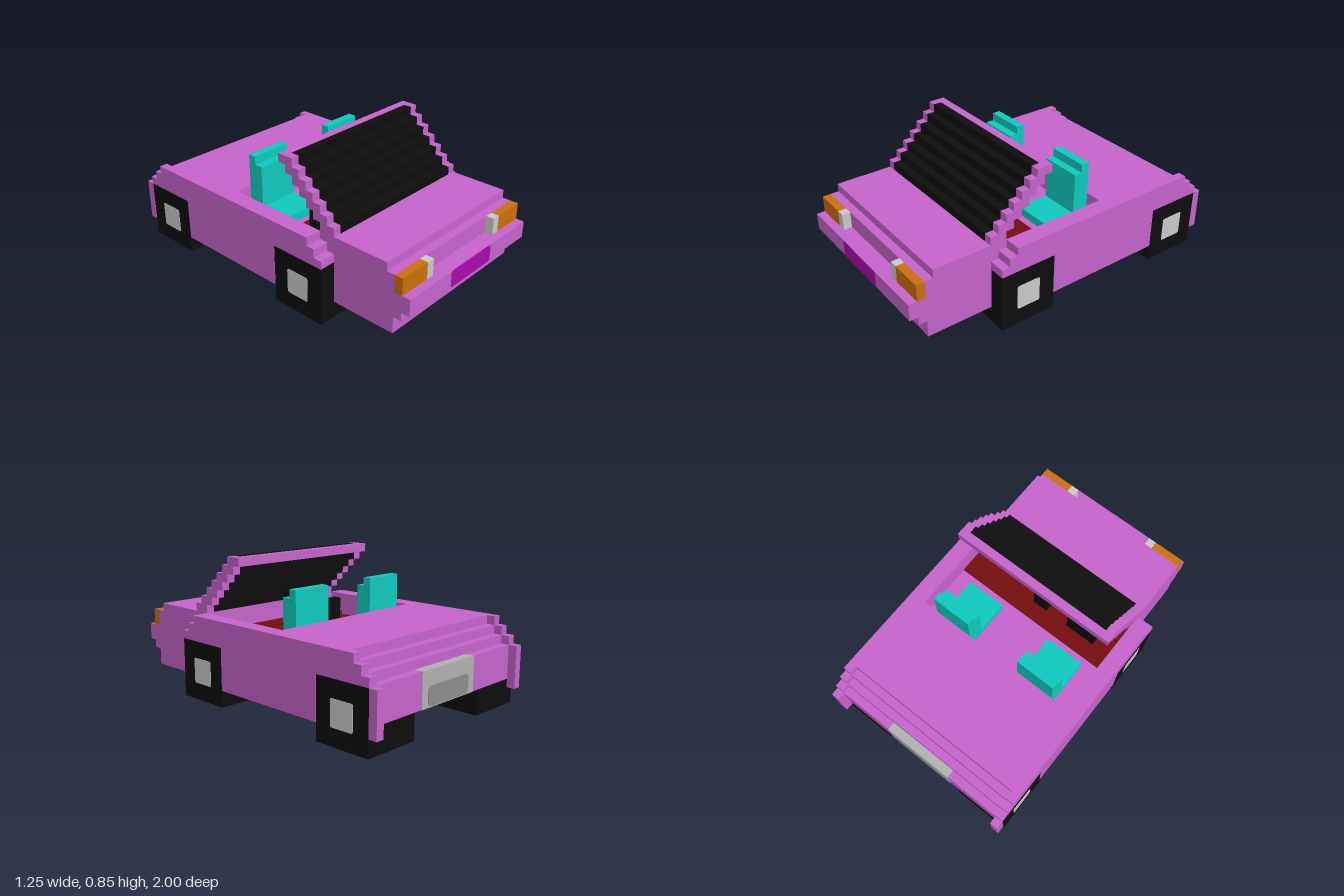
import * as THREE from 'three';

const paint = (name, color) => Object.assign(new THREE.MeshStandardMaterial({ color }), { name });

export function createModel() {
  const car = new THREE.Group();
  car.name = 'convertible';
  const purple = paint('purple paint', 0xc463ca);
  const black = paint('black', 0x0d0d0d);
  const orange = paint('orange lamp', 0xc96e0c);
  const silver = paint('silver', 0xc8c8c8);
  const teal = paint('teal seat', 0x0ec9bd);
  const magenta = paint('magenta grille', 0xa80ca8);
  const grey = paint('grey', 0xb0b0b0);
  const darkGrey = paint('dark grey', 0x8b8b8b);
  const red = paint('red carpet', 0x750e0e);

  const add = (name, geometry, material) => {
    const mesh = new THREE.Mesh(geometry, material);
    mesh.name = name;
    car.add(mesh);
    return mesh;
  };
  // Box given by its extents on each axis
  const box = (name, material, x0, x1, y0, y1, z0, z1) =>
    add(name, new THREE.BoxGeometry(x1 - x0, y1 - y0, z1 - z0)
      .translate((x0 + x1) / 2, (y0 + y1) / 2, (z0 + z1) / 2), material);
  // Side profile of [z, y] points extruded from x0 to x1
  const slab = (name, material, points, x0, x1) => {
    const shape = new THREE.Shape(points.map(([z, y]) => new THREE.Vector2(z, y)));
    const geometry = new THREE.ExtrudeGeometry(shape, { depth: x1 - x0, bevelEnabled: false });
    return add(name, geometry.rotateY(-Math.PI / 2).translate(x1, 0, 0), material);
  };
  // Thin plate with slightly rounded corners, facing +z, centred on the origin
  const plate = (w, h, r = 0.012) => {
    const a = w / 2, b = h / 2, s = new THREE.Shape();
    s.moveTo(-a + r, -b).lineTo(a - r, -b).quadraticCurveTo(a, -b, a, -b + r);
    s.lineTo(a, b - r).quadraticCurveTo(a, b, a - r, b);
    s.lineTo(-a + r, b).quadraticCurveTo(-a, b, -a, b - r);
    s.lineTo(-a, -b + r).quadraticCurveTo(-a, -b, -a + r, -b);
    return new THREE.ExtrudeGeometry(s, { depth: 0.004, bevelEnabled: false, curveSegments: 3 });
  };

  // Nose and hood
  slab('nose', purple, [
    [0.4, 0.3], [0.5, 0.3], [0.5, 0.1], [0.9, 0.1], [0.9, 0.2], [0.95, 0.2], [0.95, 0.25],
    [1, 0.25], [1, 0.35], [0.9, 0.35], [0.9, 0.45], [0.85, 0.45], [0.85, 0.5], [0.4, 0.5],
  ], -0.525, 0.525);
  add('grille', plate(0.36, 0.1).translate(0, 0.3, 0.998), magenta);

  // Cabin tub with raised channels between the wheels, and the rear deck
  const innerTail = [[-0.8, 0.5], [-0.8, 0.45], [-0.85, 0.45], [-0.85, 0.4], [-0.9, 0.4], [-0.9, 0.35]];
  const outerTail = [[-0.85, 0.5], [-0.85, 0.45], [-0.9, 0.45], [-0.9, 0.4], [-0.95, 0.4], [-0.95, 0.35]];
  slab('tub', purple, [
    [0.5, 0.35], [-0.25, 0.35], [-0.25, 0.5], ...innerTail, [-0.95, 0.35], [-0.95, 0.15],
    [-0.6, 0.15], [-0.6, 0.1], [0.15, 0.1], [0.15, 0.15], [0.5, 0.15],
  ], -0.525, 0.525);
  box('rearPanel', purple, -0.575, 0.575, 0.15, 0.35, -0.95, -0.9);
  box('numberPlateFrame', grey, -0.225, 0.225, 0.149, 0.351, -0.953, -0.9);
  add('numberPlate', plate(0.35, 0.11, 0.03).rotateY(Math.PI).translate(0, 0.21, -0.952), darkGrey);

  // Body sides with wheel openings; the outer skin runs one step further back
  const sidePanel = tail => [
    [0.5, 0.35], [0.5, 0.4], [0.45, 0.4], [0.45, 0.45], [0.4, 0.45], [0.4, 0.5], ...tail,
    [-0.6, 0.35], [-0.6, 0.1], [0.15, 0.1], [0.15, 0.35],
  ];
  // Mirrored box on either side of the car
  const pair = (name, material, x0, x1, ...rest) => {
    box(name, material, x0, x1, ...rest);
    box(name, material, -x1, -x0, ...rest);
  };
  for (const s of [-1, 1]) {
    const span = (a, b) => (s > 0 ? [a, b] : [-b, -a]);
    slab('innerSide', purple, sidePanel(innerTail), ...span(0.525, 0.575));
    slab('outerSide', purple, sidePanel(outerTail), ...span(0.575, 0.625));
    // Wheels, with a hub plate on both faces
    for (const z of [0.325, -0.775]) {
      box('wheel', black, ...span(0.275, 0.624), 0, 0.349, z - 0.174, z + 0.174);
      for (const [x, turn] of [[0.622, 1], [0.277, -1]]) {
        add('hub', plate(0.15, 0.15).rotateY(s * turn * Math.PI / 2)
          .translate(s * x, 0.175, z), silver);
      }
    }
  }
  pair('rearCornerPost', purple, 0.575, 0.625, 0.1, 0.35, -1, -0.95);

  // Front lamps
  pair('turnLamp', orange, 0.325, 0.525, 0.35, 0.45, 0.9, 0.95);
  pair('headLamp', silver, 0.275, 0.325, 0.35, 0.45, 0.9, 0.95);

  // Windshield leaning back in steps
  for (let i = 0; i < 7; i++) {
    const y = 0.5 + 0.05 * i, z = 0.4 - 0.05 * i;
    pair('windshieldPillar', purple, 0.475, 0.525, y, y + 0.05, z, z + 0.1);
    box('windshieldGlass', black, -0.475, 0.475, y, y + 0.05, i === 6 ? z + 0.05 : z, z + 0.1);
  }
  box('windshieldHeader', purple, -0.475, 0.475, 0.8, 0.85, 0.1, 0.15);

  // Interior
  box('footwell', red, -0.525, 0.525, 0.34, 0.36, 0.1, 0.4);
  box('footwellStep', red, -0.525, 0.525, 0.36, 0.385, 0.3, 0.4);
  pair('seatCushion', teal, 0.175, 0.425, 0.35, 0.4, -0.15, 0.05);
  pair('seatBack', teal, 0.175, 0.425, 0.35, 0.65, -0.2, -0.15);
  pair('seatBackRear', teal, 0.175, 0.425, 0.35, 0.7, -0.25, -0.2);
  box('centrePost', black, -0.05, 0.05, 0.36, 0.6, 0.2, 0.25);
  box('steeringWheel', black, -0.4, -0.2, 0.36, 0.5, 0.2, 0.25);

  return car;
}
